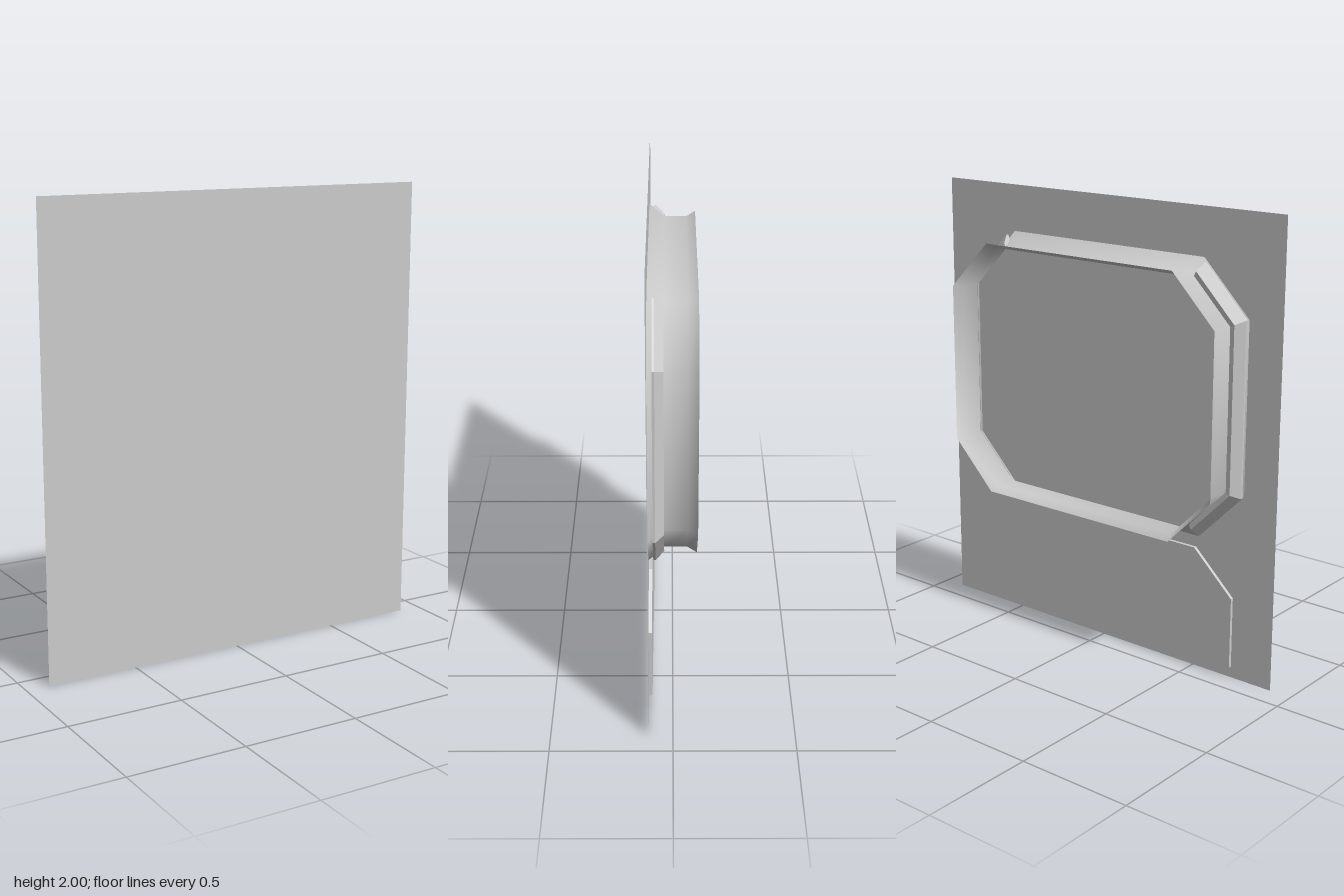
import * as THREE from 'three';

const CENTRE_Y = 1.197;
const grey = new THREE.MeshStandardMaterial({ color: 0xcccccc, side: THREE.DoubleSide });

// Frame outline (chamfered rectangle) grown outwards by d
const outline = (d) => ({ w: 0.69 + d, h: 0.547 + d, cx: 0.49 + d / 2, ch: 0.345 + d / 2 });

function makeMesh(name, geometry) {
  const mesh = new THREE.Mesh(geometry, grey);
  mesh.name = name;
  return mesh;
}

function indexed(points, index) {
  const g = new THREE.BufferGeometry();
  g.setAttribute('position', new THREE.Float32BufferAttribute(points, 3));
  g.setIndex(index);
  return g;
}

// Thin eight-sided band, flared at both rims
function frameGeometry() {
  const profile = [[0.021, -0.1], [0, -0.06], [0, 0.035], [0.05, 0.1]];
  const points = [], index = [];
  profile.forEach(([d, z], r) => {
    const { w, h, cx, ch } = outline(d);
    const ring = [[w, -ch], [w, ch], [cx, h], [-cx, h], [-w, ch], [-w, -ch], [-cx, -h], [cx, -h]];
    ring.forEach(([x, y], i) => {
      points.push(x, y, z);
      if (r === profile.length - 1) return;
      const a = r * 8 + i, b = r * 8 + (i + 1) % 8;
      index.push(a, b, a + 8, b, b + 8, a + 8);
    });
  });
  const g = indexed(points, index);
  g.computeVertexNormals();
  return g;
}

// Solid pad on the front flare, wrapping one side and its two chamfers
function padGeometry() {
  const profile = [[0, 0.037], [0.022, 0.035], [0.055, 0.07], [0.055, 0.08], [0.034, 0.08]];
  const n = profile.length, points = [], index = [];
  const inset = 0.02;
  for (let s = 0; s < 4; s++) {
    const sign = s < 2 ? 1 : -1;
    const isEnd = s === 0 || s === 3;
    profile.forEach(([d, z], i) => {
      const { w, h, cx, ch } = outline(d);
      points.push(isEnd ? cx + inset : w, sign * (isEnd ? h - inset : ch), z);
      if (s === 3) return;
      const a = s * n + i, b = s * n + (i + 1) % n;
      index.push(a, b, a + n, b, b + n, a + n);
    });
  }
  // End caps
  for (let i = 1; i < n - 1; i++) {
    index.push(0, i + 1, i);
    index.push(3 * n, 3 * n + i, 3 * n + i + 1);
  }
  const g = indexed(points, index).toNonIndexed();
  g.computeVertexNormals();
  return g;
}

export function createModel() {
  const model = new THREE.Group();
  model.name = 'framedPanel';

  // Flat front sheet
  const panel = makeMesh('frontPanel', new THREE.PlaneGeometry(1.8, 2));
  panel.position.set(0, 1, 0.1);
  model.add(panel);

  // Octagonal frame behind the sheet
  const frame = makeMesh('frame', frameGeometry());
  frame.position.y = CENTRE_Y;
  model.add(frame);

  // Pads on both sides of the frame
  const padShape = padGeometry();
  ['leftPad', 'rightPad'].forEach((name, i) => {
    const pad = makeMesh(name, padShape);
    pad.position.y = CENTRE_Y;
    pad.rotation.z = i * Math.PI;
    model.add(pad);
  });

  // Raised plate with clipped upper corners, below the frame
  const corners = [[-0.7, 0.05], [0.7, 0.05], [0.7, 0.365], [0.505, 0.55], [-0.505, 0.55], [-0.7, 0.365]];
  const shape = new THREE.Shape(corners.map(([x, y]) => new THREE.Vector2(x, y)));
  const plate = makeMesh('lowerPlate', new THREE.ExtrudeGeometry(shape, { depth: 0.0145, bevelEnabled: false }));
  plate.position.z = 0.085;
  model.add(plate);

  return model;
}
